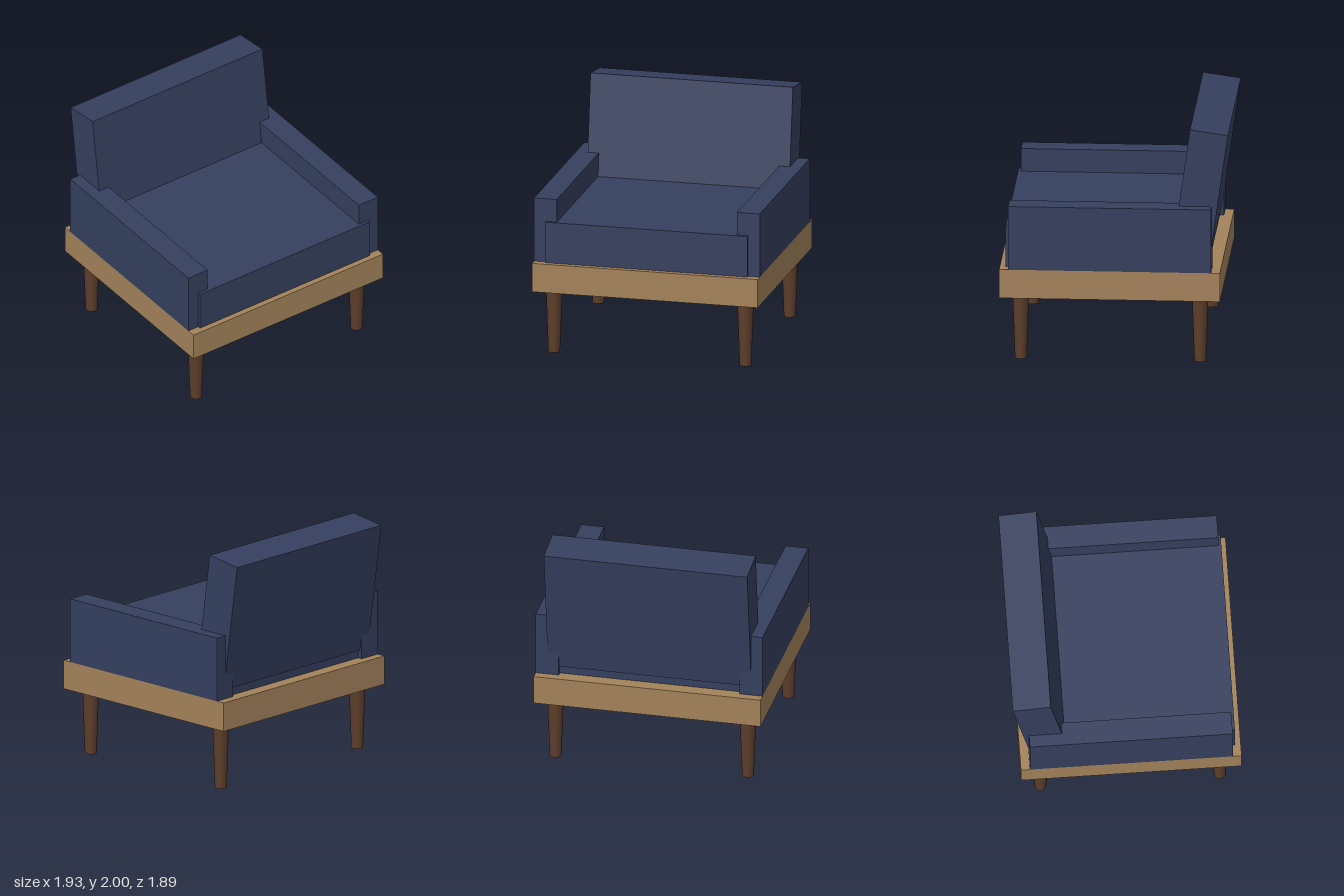
import * as THREE from 'three';

const fabric = new THREE.MeshStandardMaterial({ color: 0x353f5e });
const wood = new THREE.MeshStandardMaterial({ color: 0xa3825a });
const darkWood = new THREE.MeshStandardMaterial({ color: 0x5c3d2a });

// Box given by its min and max corners
function block(name, material, [x0, y0, z0], [x1, y1, z1]) {
  const mesh = new THREE.Mesh(new THREE.BoxGeometry(x1 - x0, y1 - y0, z1 - z0), material);
  mesh.position.set((x0 + x1) / 2, (y0 + y1) / 2, (z0 + z1) / 2);
  mesh.name = name;
  return mesh;
}

export function createModel() {
  const armchair = new THREE.Group();
  armchair.name = 'armchair';

  // Wooden platform and seat cushion
  armchair.add(block('base', wood, [-0.965, 0.55, -0.885], [0.965, 0.795, 0.948]));
  armchair.add(block('seatCushion', fabric, [-0.865, 0.795, -0.77], [0.865, 1.145, 0.9]));

  // Armrests
  armchair.add(block('leftArm', fabric, [0.77, 0.795, -0.81], [0.965, 1.34, 0.875]));
  armchair.add(block('rightArm', fabric, [-0.965, 0.795, -0.81], [-0.77, 1.34, 0.875]));

  // Backrest, leaning backwards
  const back = new THREE.Mesh(new THREE.BoxGeometry(1.73, 1.1, 0.318), fabric);
  back.name = 'backrest';
  back.position.set(0, 1.433, -0.711);
  back.rotation.x = THREE.MathUtils.degToRad(-8);
  armchair.add(back);

  // Tapered legs
  const legShape = new THREE.CylinderGeometry(0.068, 0.049, 0.55, 24);
  for (const x of [-0.818, 0.818]) {
    for (const z of [-0.713, 0.777]) {
      const leg = new THREE.Mesh(legShape, darkWood);
      leg.name = (z > 0 ? 'front' : 'back') + (x > 0 ? 'Left' : 'Right') + 'Leg';
      leg.position.set(x, 0.275, z);
      armchair.add(leg);
    }
  }
  return armchair;
}
